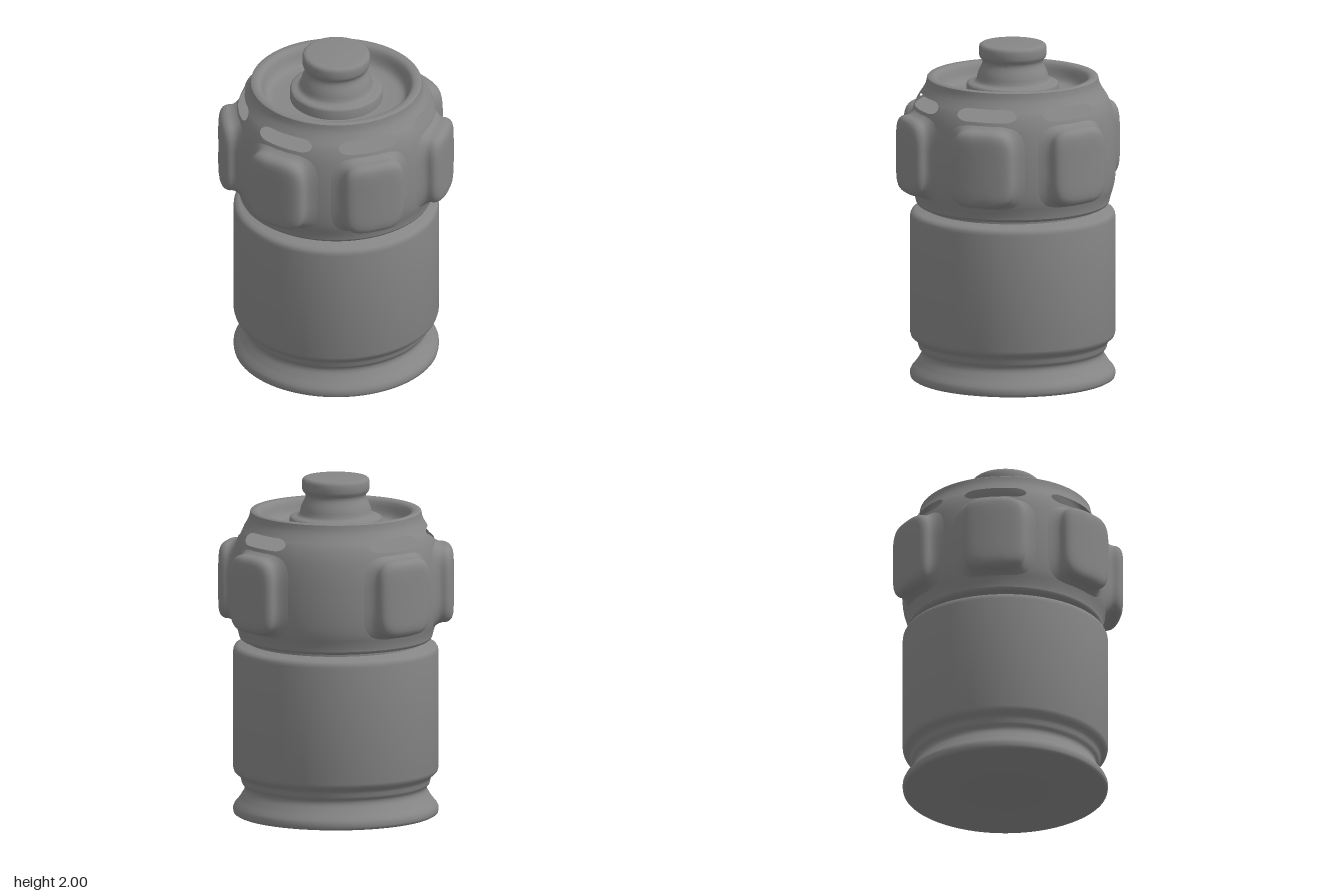
import * as THREE from 'three';
import { mergeVertices, toCreasedNormals } from 'three/addons/utils/BufferGeometryUtils.js';

const material = new THREE.MeshStandardMaterial({ color: 0x868686 });
const thin = new THREE.MeshStandardMaterial({ color: 0x868686, side: THREE.DoubleSide });

// angles of the six pads and slots, leaving one wider gap
const ANGLES = [0, 54, 144, 198, 252, 306].map(THREE.MathUtils.degToRad);

// dome radius by height
const DOME_Y = [1.06, 1.1, 1.16, 1.25, 1.45, 1.55, 1.62, 1.68, 1.72, 1.76, 1.8];
const DOME_R = [0.565, 0.575, 0.593, 0.603, 0.603, 0.594, 0.58, 0.556, 0.53, 0.509, 0.5];
const domeCurve = new THREE.CubicInterpolant(DOME_Y, DOME_R, 1, [0]);
const domeR = (y) => domeCurve.evaluate(THREE.MathUtils.clamp(y, 1.06, 1.8))[0];

const polar = (a, y, r) => [r * Math.cos(a), y, -r * Math.sin(a)];

function named(name, geometry, mat = material) {
  const mesh = new THREE.Mesh(geometry, mat);
  mesh.name = name;
  return mesh;
}

function lathe(name, profile) {
  const points = profile.map(([r, y]) => new THREE.Vector2(r, y));
  return named(name, toCreasedNormals(new THREE.LatheGeometry(points, 120), 1), thin);
}

// grid surface: point(i, j) gives a position, normal(i, j) is optional
function grid(nu, nv, point, normal) {
  const pos = [], nor = [], index = [];
  for (let j = 0; j <= nv; j++) {
    for (let i = 0; i <= nu; i++) {
      pos.push(...point(i, j));
      if (normal) nor.push(...normal(i, j));
      if (i < nu && j < nv) {
        const a = j * (nu + 1) + i, b = a + nu + 1;
        index.push(a, a + 1, b + 1, a, b + 1, b);
      }
    }
  }
  let g = new THREE.BufferGeometry();
  g.setAttribute('position', new THREE.Float32BufferAttribute(pos, 3));
  g.setIndex(index);
  if (normal) g.setAttribute('normal', new THREE.Float32BufferAttribute(nor, 3));
  else {
    g = mergeVertices(g);
    g.computeVertexNormals();
  }
  return g;
}

// half height of the slot opening at an angle (long rounded ends, zero outside)
const SLOT_Y = 1.675, SLOT_H = 0.036, SLOT_W = 0.185, SLOT_END = 0.075, COLUMNS = 720;
function slotHalf(a) {
  let half = 0;
  for (const s of ANGLES) {
    const d = Math.abs(Math.atan2(Math.sin(a - s), Math.cos(a - s))) * 0.56;
    const e = Math.max(0, d - (SLOT_W - SLOT_END)) / SLOT_END;
    if (e < 1) half = SLOT_H * Math.sqrt(1 - e * e);
  }
  return half;
}
const column = (i) => (i / COLUMNS) * Math.PI * 2;

// part of the dome wall, between a fixed height and the edge of the slots
function domeStrip(fixedY, side, rows) {
  const yAt = (i, j) => {
    const edge = SLOT_Y + side * slotHalf(column(i));
    const t = j / rows;
    return side < 0 ? fixedY + (edge - fixedY) * t : edge + (fixedY - edge) * t;
  };
  return grid(COLUMNS, rows,
    (i, j) => polar(column(i), yAt(i, j), domeR(yAt(i, j))),
    (i, j) => {
      const y = yAt(i, j), slope = (domeR(y + 0.004) - domeR(y - 0.004)) / 0.008;
      const n = new THREE.Vector3(...polar(column(i), -slope, 1)).normalize();
      return n.toArray();
    });
}

// curved grip pad: superellipse loops running from the dome wall to the outer face
function padGeometry() {
  const loops = [ // sideways growth, vertical growth, share of the way out from the dome
    [0.09, 0.022, -0.02], [0.06, 0.016, 0.03], [0.035, 0.01, 0.1], [0.015, 0.004, 0.22],
    [0.004, 0, 0.36], [0, 0, 0.52], [-0.004, -0.004, 0.66], [-0.012, -0.012, 0.79],
    [-0.024, -0.024, 0.89], [-0.04, -0.042, 0.955], [-0.062, -0.068, 0.988],
    [-0.09, -0.105, 1], [-0.14, -0.165, 1], [-0.193, -0.228, 1],
  ];
  const n = 80;
  const power = (c) => Math.sign(c) * Math.pow(Math.abs(c), 2 / 4.2);
  return grid(n, loops.length - 1, (i, j) => {
    const t = (i / n) * Math.PI * 2, [growU, growV, out] = loops[j];
    const u = (0.193 + growU) * power(Math.cos(t));
    const y = 1.372 + (0.228 + growV) * power(Math.sin(t));
    return polar(u / 0.66, y, THREE.MathUtils.lerp(domeR(y), 0.69, out));
  });
}

export function createModel() {
  const model = new THREE.Group();
  model.name = 'canister';

  // flared foot, ribs, barrel and neck groove
  model.add(lathe('barrel', [
    [0, 0.005], [0.585, 0.005], [0.597, 0.012], [0.6, 0.025], [0.6, 0.045], [0.592, 0.062],
    [0.572, 0.085], [0.558, 0.105], [0.548, 0.122], [0.538, 0.137], [0.533, 0.152], [0.533, 0.165],
    [0.538, 0.175], [0.547, 0.184], [0.552, 0.196], [0.554, 0.213], [0.562, 0.23], [0.58, 0.245],
    [0.594, 0.258], [0.6, 0.278], [0.6, 0.97], [0.598, 0.985], [0.59, 1.0], [0.57, 1.008],
    [0.535, 1.015], [0.51, 1.023], [0.51, 1.035], [0.525, 1.04], [0.55, 1.043], [0.56, 1.05],
    [0.565, 1.06],
  ]));

  // hollow dome with slots cut through its wall
  const dome = new THREE.Group();
  dome.name = 'dome';
  dome.add(named('domeLowerWall', domeStrip(1.06, -1, 18), thin));
  dome.add(named('domeUpperWall', domeStrip(1.8, 1, 6), thin));
  const floor = named('innerFloor', new THREE.CircleGeometry(0.575, 96), thin);
  floor.rotation.x = -Math.PI / 2;
  floor.position.y = 1.625;
  dome.add(floor);
  model.add(dome);

  // rim, sunken ring, pedestal and knob
  model.add(lathe('topRimAndKnob', [
    [0.5, 1.8], [0.495, 1.805], [0.465, 1.805], [0.45, 1.8], [0.438, 1.787], [0.43, 1.765],
    [0.422, 1.742], [0.412, 1.722], [0.398, 1.708], [0.38, 1.702], [0.35, 1.7], [0.27, 1.7],
    [0.27, 1.755], [0.267, 1.764], [0.258, 1.77], [0.235, 1.772], [0.22, 1.777], [0.211, 1.79],
    [0.207, 1.81], [0.2, 1.835], [0.188, 1.86], [0.179, 1.88], [0.177, 1.895], [0.182, 1.908],
    [0.193, 1.92], [0.198, 1.935], [0.198, 1.975], [0.194, 1.99], [0.184, 1.998], [0.17, 2.0],
    [0, 2.0],
  ]));

  // grip pads around the dome
  const pad = padGeometry();
  for (const angle of ANGLES) {
    const mesh = named('gripPad', pad);
    mesh.rotation.y = angle;
    model.add(mesh);
  }

  model.children.forEach((part) => part.position.set(-0.005, 0, -0.025));
  return model;
}
